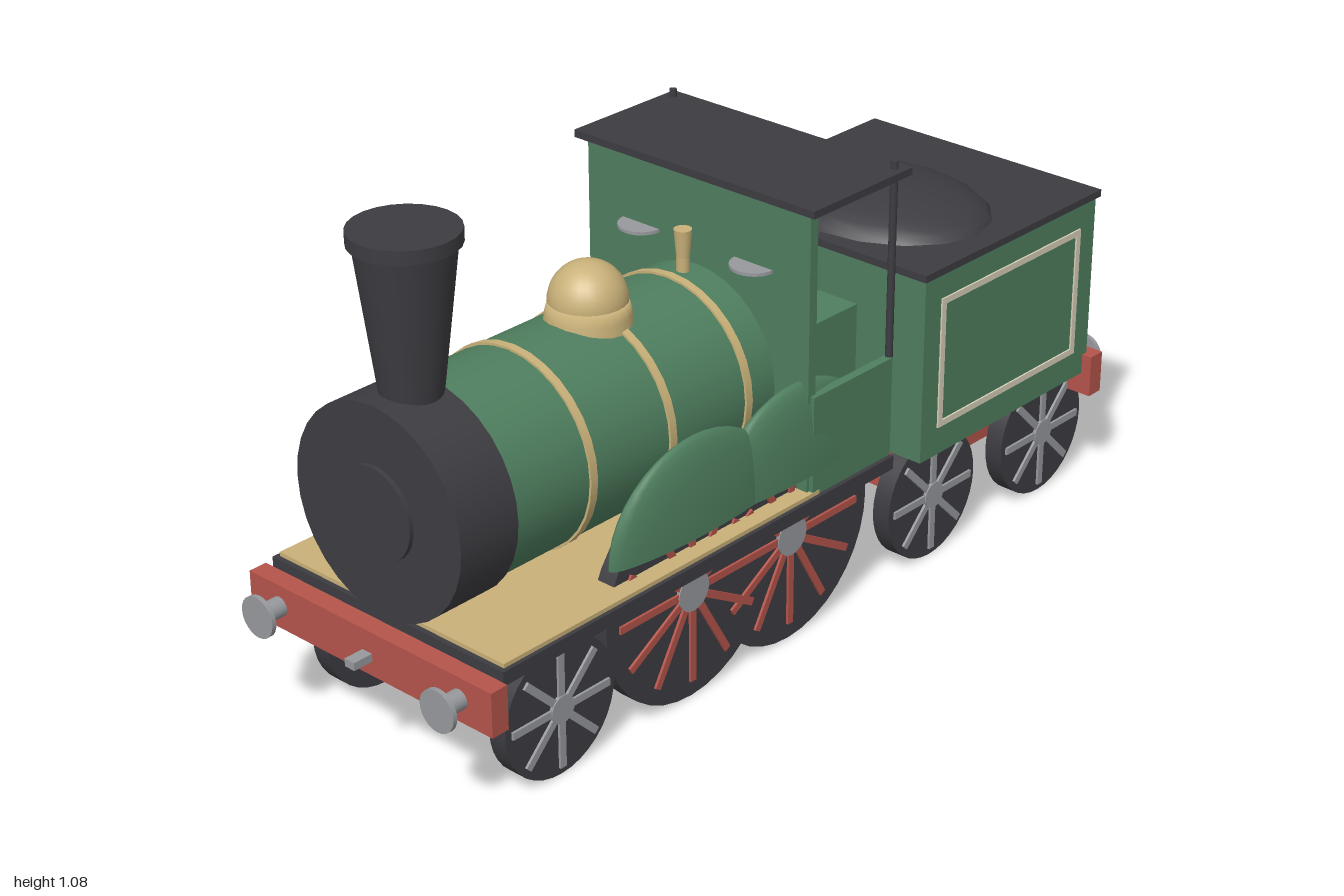
import * as THREE from 'three';

const mat = (name, color) => {
  const m = new THREE.MeshStandardMaterial({ color });
  m.name = name;
  return m;
};

export function createModel() {
  const green = mat('green paint', 0x4f7f5f);
  const dark = mat('black iron', 0x3d3c41);
  const red = mat('red paint', 0xb5544b);
  const brass = mat('brass', 0xc9b179);
  const steel = mat('steel', 0x97999d);
  const cream = mat('cream lining', 0xd6cfb8);

  const model = new THREE.Group();
  model.name = 'steamEngineWithTender';

  const add = (name, geo, material, x = 0, y = 0, z = 0, parent = model) => {
    const m = new THREE.Mesh(geo, material);
    m.name = name;
    m.position.set(x, y, z);
    parent.add(m);
    return m;
  };
  // Box given by its limits on each axis
  const box = (name, material, x0, x1, y0, y1, z0, z1, parent = model) =>
    add(name, new THREE.BoxGeometry(x1 - x0, y1 - y0, z1 - z0), material,
      (x0 + x1) / 2, (y0 + y1) / 2, (z0 + z1) / 2, parent);
  // Cylinder lying along z or x
  const cylZ = (name, material, r, x, y, z0, z1, seg = 32, parent = model) =>
    add(name, new THREE.CylinderGeometry(r, r, z1 - z0, seg).rotateX(Math.PI / 2), material,
      x, y, (z0 + z1) / 2, parent);
  const cylX = (name, material, r, x0, x1, y, z, seg = 32, parent = model) =>
    add(name, new THREE.CylinderGeometry(r, r, x1 - x0, seg).rotateZ(Math.PI / 2), material,
      (x0 + x1) / 2, y, z, parent);

  // Boiler, smokebox and brass bands
  const by = 0.548;
  cylZ('boiler', green, 0.208, 0, by, -0.03, 0.76);
  cylZ('smokebox', dark, 0.22, 0, by, 0.755, 0.9);
  cylZ('smokeboxDoor', dark, 0.097, 0, 0.549, 0.89, 0.91);
  for (const z of [0.547, 0.327, 0.107]) cylZ('boilerBand', brass, 0.213, 0, by, z - 0.009, z + 0.009);

  // Chimney
  add('chimney', new THREE.CylinderGeometry(0.098, 0.056, 0.34, 24), dark, 0, 0.89, 0.802);
  add('chimneyCap', new THREE.CylinderGeometry(0.107, 0.107, 0.028, 24), dark, 0, 1.072, 0.802);

  // Steam dome and whistle
  const domeProfile = [[0.09, 0.72], [0.086, 0.76], [0.08, 0.785], [0, 0.785]];
  const domeBase = new THREE.LatheGeometry(domeProfile.map(([r, y]) => new THREE.Vector2(r, y)), 24);
  add('domeBase', domeBase, brass, 0, 0, 0.338);
  add('dome', new THREE.SphereGeometry(0.08, 24, 10, 0, Math.PI * 2, 0, Math.PI / 2), brass, 0, 0.786, 0.338);
  add('whistle', new THREE.CylinderGeometry(0.014, 0.014, 0.1, 12), brass, 0, 0.78, 0.067);
  add('whistleTop', new THREE.CylinderGeometry(0.019, 0.014, 0.06, 12), brass, 0, 0.815, 0.067);

  // Frame and running board
  box('engineFrame', red, -0.222, 0.222, 0.19, 0.31, -0.22, 0.905);
  box('runningBoard', dark, -0.315, 0.315, 0.305, 0.335, -0.225, 0.897);
  box('footplate', brass, -0.306, 0.306, 0.335, 0.344, 0, 0.886);

  // Cab
  box('cabFront', green, -0.295, 0.295, 0.335, 0.948, 0.005, 0.027);
  box('fireboxCasing', green, -0.25, 0.25, 0.335, 0.675, -0.175, 0.005);
  box('cabRoof', dark, -0.317, 0.317, 0.948, 0.964, -0.255, 0.044);
  for (const s of [-1, 1]) {
    box('cabSide', green, s * 0.295 - 0.01, s * 0.295 + 0.01, 0.335, 0.555, -0.225, 0.02);
    add('roofPost', new THREE.CylinderGeometry(0.008, 0.008, 0.43, 12), dark, s * 0.294, 0.766, -0.227);
    add('cabDisc', new THREE.CylinderGeometry(0.05, 0.05, 0.007, 24), steel, s * 0.15, 0.798, 0.025);
  }

  // Wheel: solid disc with raised spokes and hub
  const wheel = (name, s, y, z, r, count, spokeLen, hubR, spokeMat) => {
    const g = new THREE.Group();
    g.name = name;
    g.position.set(s * 0.245, y, z);
    model.add(g);
    cylX('disc', dark, r, -0.021, 0.021, 0, 0, 36, g);
    for (let i = 0; i < count; i++) {
      const a = (i / count) * Math.PI * 2;
      const geo = new THREE.BoxGeometry(0.008, spokeLen, 0.016).translate(0, spokeLen / 2, 0).rotateX(a);
      add('spoke', geo, spokeMat, s * 0.0225, 0, 0, g);
    }
    cylX('hub', steel, hubR, -0.029, 0.029, 0, 0, 20, g);
  };
  const drivers = [0.338, 0.043], carriers = [0.705, -0.424, -0.815];
  for (const s of [-1, 1]) {
    for (const z of drivers) wheel('drivingWheel', s, 0.244, z, 0.24, 12, 0.205, 0.043, red);
    for (const z of carriers) wheel('carryingWheel', s, 0.148, z, 0.146, 8, 0.13, 0.03, steel);
    // Domed splashers over the driving wheels
    for (const z of drivers) {
      const geo = new THREE.SphereGeometry(1, 28, 10, 0, Math.PI * 2, 0, Math.PI / 2).scale(0.037, 0.198, 0.236);
      add('splasher', geo, green, s * 0.272, 0.387, z);
      const base = new THREE.CircleGeometry(1, 28).rotateX(Math.PI / 2).scale(0.037, 1, 0.236);
      add('splasherBase', base, green, s * 0.272, 0.387, z);
    }
  }
  for (const z of carriers) cylX('axle', steel, 0.017, -0.27, 0.27, 0.15, z, 16);
  for (const z of drivers) cylX('drivingAxle', steel, 0.02, -0.25, 0.25, 0.244, z, 16);

  // Tender
  box('tenderFrame', red, -0.222, 0.222, 0.175, 0.28, -0.91, -0.335);
  box('tenderBody', green, -0.306, 0.306, 0.273, 0.692, -0.917, -0.327);
  box('tenderLid', dark, -0.313, 0.313, 0.69, 0.706, -0.926, -0.318);
  const coal = new THREE.SphereGeometry(1, 16, 8, 0, Math.PI * 2, 0, Math.PI / 2).scale(0.27, 0.075, 0.21);
  add('coalHeap', coal, dark, 0, 0.69, -0.552);

  // Cream lining on the tender sides
  for (const s of [-1, 1]) {
    const x0 = s * 0.307 - 0.003, x1 = s * 0.307 + 0.003;
    for (const y of [0.344, 0.626]) box('lining', cream, x0, x1, y - 0.007, y + 0.007, -0.863, -0.38);
    for (const z of [-0.856, -0.387]) box('lining', cream, x0, x1, 0.351, 0.619, z - 0.007, z + 0.007);
  }

  // End beams, bumpers and couplings at both ends
  for (const d of [1, -1]) {
    const end = new THREE.Group();
    end.name = d > 0 ? 'frontBeam' : 'rearBeam';
    if (d < 0) end.rotation.y = Math.PI;
    model.add(end);
    box('beam', red, -0.33, 0.33, 0.223, 0.318, 0.902, 0.943, end);
    box('coupling', steel, -0.013, 0.013, 0.255, 0.272, 0.94, 0.988, end);
    for (const s of [-1, 1]) {
      cylZ('bumperStem', steel, 0.021, s * 0.246, 0.272, 0.94, 0.995, 16, end);
      cylZ('bumperHead', steel, 0.044, s * 0.246, 0.272, 0.99, 1, 24, end);
    }
  }
  return model;
}
